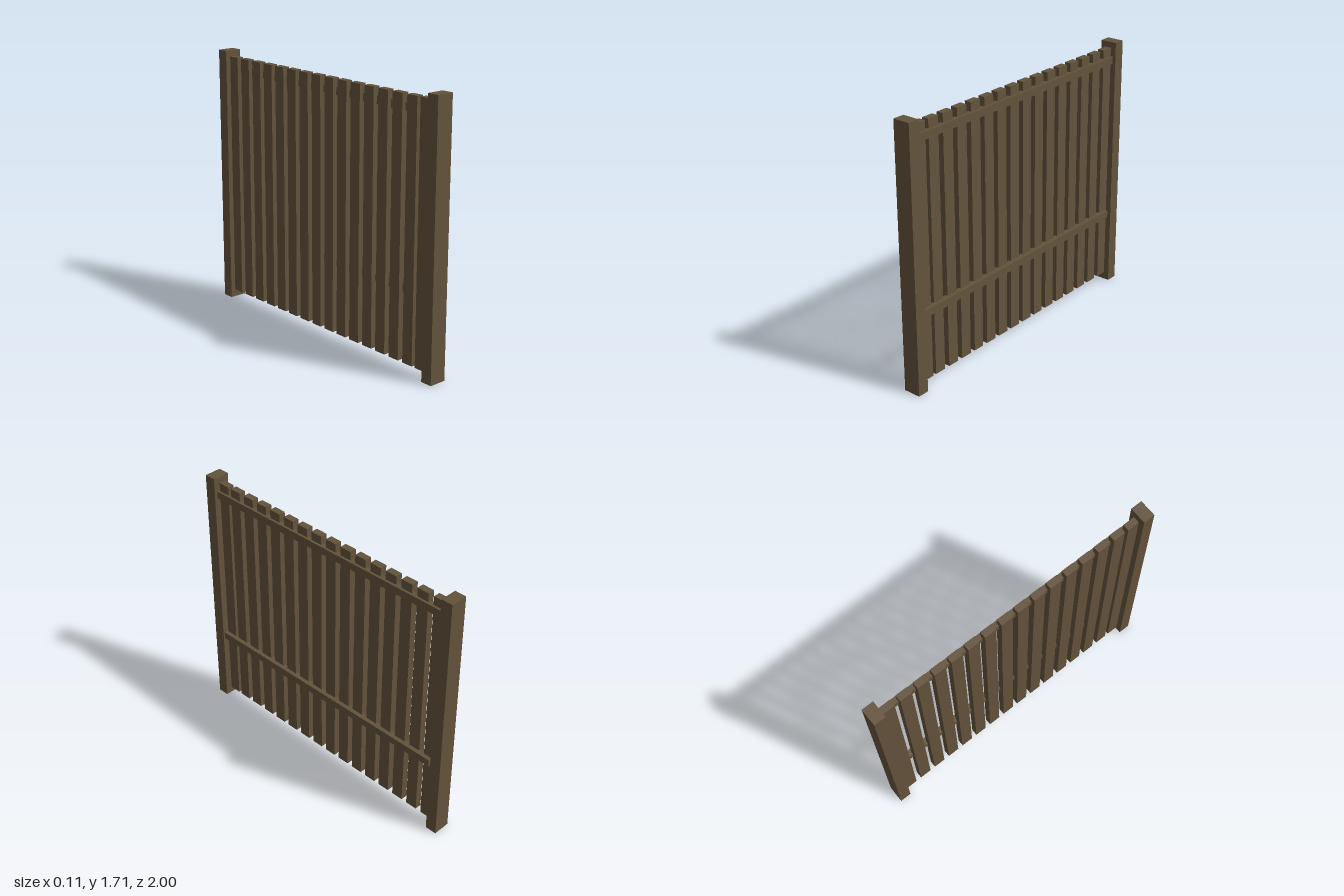
import * as THREE from 'three';

export function createModel() {
  const fence = new THREE.Group();
  fence.name = 'fencePanel';
  const wood = new THREE.MeshStandardMaterial({ color: 0x63533b });

  // Box given by its [min, max] extent on each axis
  function board(name, [x0, x1], [y0, y1], [z0, z1]) {
    const mesh = new THREE.Mesh(new THREE.BoxGeometry(x1 - x0, y1 - y0, z1 - z0), wood);
    mesh.position.set((x0 + x1) / 2, (y0 + y1) / 2, (z0 + z1) / 2);
    mesh.name = name;
    fence.add(mesh);
  }

  // End posts
  board('frontPost', [-0.057, 0.057], [0, 1.713], [0.923, 1]);
  board('backPost', [-0.057, 0.057], [0, 1.713], [-1, -0.923]);

  // Pickets: evenly spaced, with the front one set slightly closer
  const centres = [0.875];
  for (let i = 0; i < 15; i++) centres.push(0.77 - i * 0.118);
  centres.forEach((z, i) =>
    board(`picket${i + 1}`, [-0.025, 0.02], [0.05, 1.675], [z - 0.04, z + 0.04]));

  // Horizontal rails let into the left face of the pickets
  board('upperRail', [0, 0.036], [1.57, 1.618], [-0.923, 0.923]);
  board('lowerRail', [0.005, 0.047], [0.485, 0.533], [-0.902, 0.923]);

  return fence;
}
